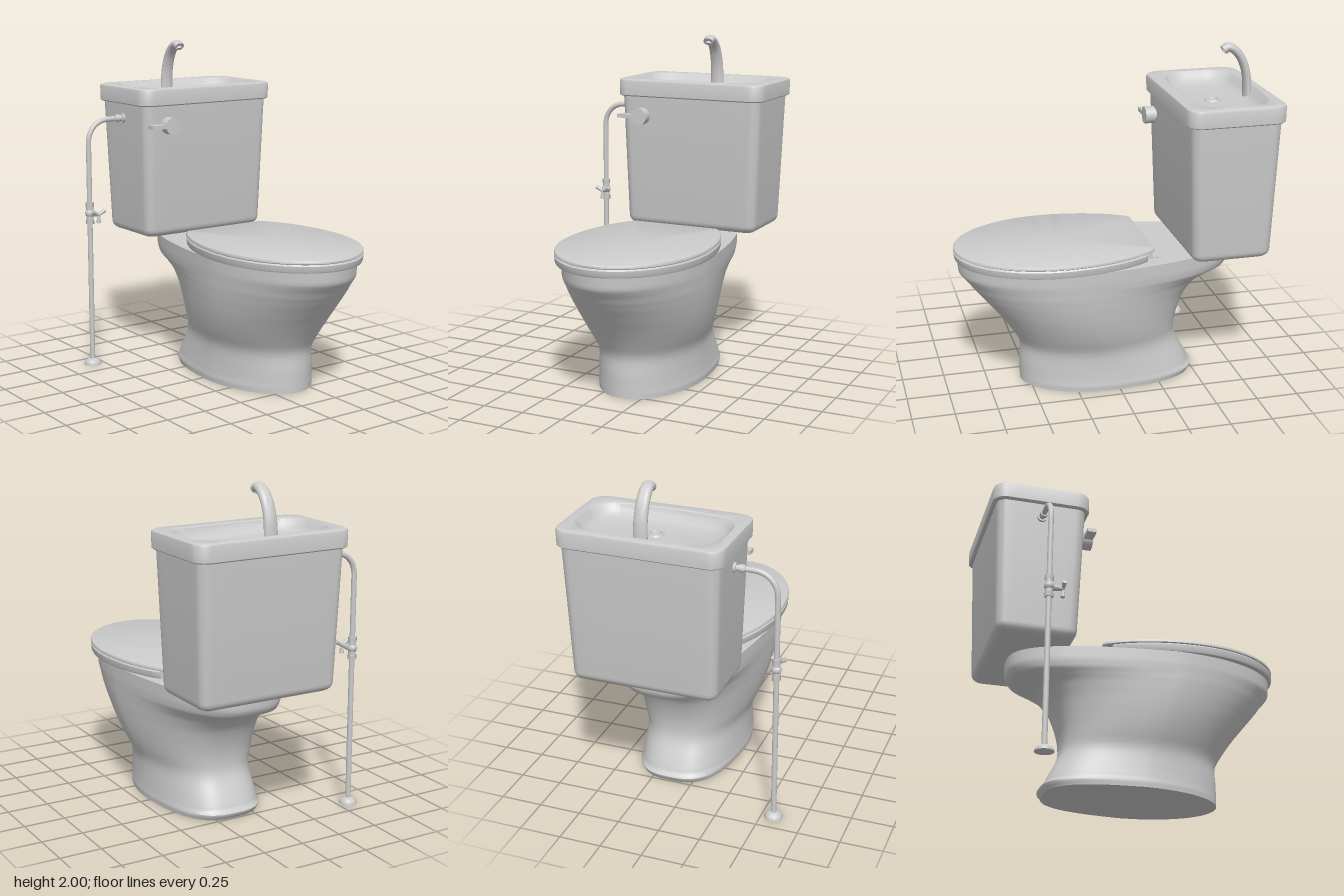
import * as THREE from 'three';
import { toCreasedNormals } from 'three/addons/utils/BufferGeometryUtils.js';

const CX = 0.135; // centre line of bowl and tank
const V = (x, y, z) => new THREE.Vector3(x, y, z);
const material = new THREE.MeshStandardMaterial({ color: 0xcccccc });

function add(parent, name, geometry, x = 0, y = 0, z = 0) {
  const mesh = new THREE.Mesh(geometry, material);
  mesh.name = name;
  mesh.position.set(x, y, z);
  parent.add(mesh);
  return mesh;
}

// Skin a stack of closed sections (counter-clockwise from above) and cap both ends
function loft(sections, crease = 0.6) {
  const n = sections[0].length, pos = [], index = [];
  sections.forEach(s => s.forEach(p => pos.push(p.x, p.y, p.z)));
  for (let i = 0; i < sections.length - 1; i++) {
    for (let j = 0; j < n; j++) {
      const a = i * n + j, b = i * n + (j + 1) % n;
      index.push(a, b, b + n, a, b + n, a + n);
    }
  }
  [0, sections.length - 1].forEach((row, top) => {
    const c = V(0, 0, 0);
    sections[row].forEach(p => c.addScaledVector(p, 1 / n));
    const ci = pos.length / 3;
    pos.push(c.x, c.y, c.z);
    for (let j = 0; j < n; j++) {
      const a = row * n + j, b = row * n + (j + 1) % n;
      if (top) index.push(ci, a, b); else index.push(ci, b, a);
    }
  });
  const g = new THREE.BufferGeometry();
  g.setAttribute('position', new THREE.Float32BufferAttribute(pos, 3));
  g.setIndex(index);
  return toCreasedNormals(g, crease);
}

// Bowl section: elliptical front, blunt tapering back
function bowlSection(y, zf, zb, hw, zc, taper, n = 72) {
  return Array.from({ length: n }, (_, i) => {
    const a = i / n * Math.PI * 2, s = Math.sin(a), c = Math.cos(a);
    if (c >= 0) return V(hw * s, y, zc + (zf - zc) * c);
    const t = Math.pow(-c, 2 / 3);
    return V(Math.sign(s) * hw * Math.pow(Math.abs(s), 2 / 3) * (1 - taper * t), y, zc + (zb - zc) * t);
  });
}

// Seat outline: egg cut straight across the back
function seatSection(y, scale, back, n = 120) {
  return Array.from({ length: n }, (_, i) => {
    const a = i / n * Math.PI * 2, c = Math.cos(a);
    const z = 0.33 + (c > 0 ? 0.595 : 0.706) * c * scale;
    return V(0.435 * scale * Math.sin(a), y, Math.max(back, z));
  });
}

// Rounded rectangle whose long sides may bow outwards
function rectSection(y, hx, hz, r, bulge = 0, zc = 0) {
  const pts = [], corner = 8, edge = 8;
  [[1, 1, 0], [1, -1, 1], [-1, -1, 2], [-1, 1, 3]].forEach(([sx, sz, q]) => {
    for (let i = 0; i <= corner; i++) {
      const a = (q + i / corner) * Math.PI / 2;
      pts.push([sx * (hx - r) + r * Math.sin(a), sz * (hz - r) + r * Math.cos(a)]);
    }
    const [x0, z0] = pts[pts.length - 1];
    const [x1, z1] = [[hx, -hz + r], [-hx + r, -hz], [-hx, hz - r], [hx - r, hz]][q];
    for (let i = 1; i < edge; i++) {
      pts.push([x0 + (x1 - x0) * i / edge, z0 + (z1 - z0) * i / edge]);
    }
  });
  return pts.map(([x, z]) => V(x, y, zc + z + bulge * (z / hz) * (1 - (x / hx) ** 2)));
}

export function createModel() {
  const model = new THREE.Group();

  // Pedestal bowl: y, front z, back z, half width, widest z, taper
  const levels = [
    [0, 0.55, -0.49, 0.305, 0.03, 0.12], [0.05, 0.55, -0.49, 0.305, 0.03, 0.12],
    [0.13, 0.55, -0.455, 0.3, 0.04, 0.14], [0.24, 0.547, -0.402, 0.302, 0.06, 0.18],
    [0.34, 0.6, -0.397, 0.34, 0.1, 0.2], [0.44, 0.67, -0.42, 0.372, 0.14, 0.22],
    [0.54, 0.75, -0.465, 0.394, 0.17, 0.23], [0.62, 0.815, -0.54, 0.406, 0.19, 0.23],
    [0.66, 0.845, -0.63, 0.41, 0.2, 0.23], [0.685, 0.866, -0.7, 0.412, 0.2, 0.23],
    [0.73, 0.9, -0.73, 0.416, 0.2, 0.23], [0.805, 0.907, -0.735, 0.418, 0.2, 0.23],
  ];
  const heights = new THREE.CatmullRomCurve3(levels.map(l => V(l[0], l[4], l[5])));
  const extents = new THREE.CatmullRomCurve3(levels.map(l => V(l[1], l[2], l[3])));
  const rows = Array.from({ length: 45 }, (_, i) => {
    const h = heights.getPoint(i / 44), e = extents.getPoint(i / 44);
    return bowlSection(h.x, e.x, e.y, e.z, h.y, h.z);
  });
  add(model, 'bowl', loft(rows, 0.9), CX);

  // Seat, cover and hinges
  add(model, 'seat', loft([[0.805, 0.985], [0.815, 0.995], [0.845, 1.0], [0.853, 0.985]]
    .map(([y, s]) => seatSection(y, s, -0.16))), CX);
  add(model, 'seatCover', loft([[0.853, 0.985], [0.858, 1], [0.868, 1], [0.874, 0.993], [0.877, 0.98]]
    .map(([y, s]) => seatSection(y, s, -0.21 + (1 - s) * 0.5))), CX);
  for (const side of [-1, 1]) {
    add(model, 'seatHinge', new THREE.BoxGeometry(0.12, 0.05, 0.05), CX + side * 0.2, 0.83, -0.175);
    add(model, 'hingePlate', new THREE.BoxGeometry(0.12, 0.012, 0.1), CX + side * 0.2, 0.807, -0.19);
  }

  // Tapered tank with a rounded underside
  const tank = new THREE.Group();
  tank.name = 'tank';
  tank.position.set(CX, 0, -0.637);
  model.add(tank);
  const tankRows = [0, 1, 2, 3, 4, 5].map(i => {
    const a = i / 5 * Math.PI / 2, inset = 0.05 * (1 - Math.sin(a));
    return rectSection(0.86 - 0.05 * Math.cos(a), 0.433 - inset, 0.237 - inset, 0.055 - inset * 0.5);
  });
  tankRows.push(rectSection(1.65, 0.46, 0.267, 0.06));
  add(tank, 'tankBody', loft(tankRows));

  // Tank top with hand basin: outer wall, rim, then down into the basin
  add(tank, 'basinTop', loft([
    rectSection(1.63, 0.475, 0.282, 0.075), rectSection(1.637, 0.483, 0.29, 0.08),
    rectSection(1.72, 0.485, 0.291, 0.08), rectSection(1.731, 0.481, 0.287, 0.08),
    rectSection(1.736, 0.472, 0.278, 0.08),
    rectSection(1.736, 0.43, 0.2, 0.12, 0.035, -0.008), rectSection(1.73, 0.422, 0.192, 0.12, 0.035, -0.008),
    rectSection(1.7, 0.405, 0.18, 0.12, 0.033, -0.004), rectSection(1.675, 0.375, 0.155, 0.11, 0.03),
    rectSection(1.664, 0.32, 0.11, 0.09, 0.025), rectSection(1.66, 0.1, 0.05, 0.04, 0.01),
  ]));
  const drain = [[0, 0.004], [0.016, 0.004], [0.018, 0], [0.03, 0], [0.034, 0.01], [0.044, 0.01], [0.05, 0]];
  add(tank, 'drain', toCreasedNormals(new THREE.LatheGeometry(
    drain.map(([r, y]) => new THREE.Vector2(r, y)).reverse(), 32), 0.5), 0, 1.662, 0.006)
    .material = new THREE.MeshStandardMaterial({ color: 0xcccccc, side: THREE.DoubleSide });

  // Flattened, curved spout narrowing towards the tip
  const spoutPath = new THREE.CatmullRomCurve3([
    V(0, 1.66, -0.843), V(0, 1.75, -0.842), V(0, 1.83, -0.83), V(0, 1.915, -0.795),
    V(0, 1.965, -0.745), V(0, 1.974, -0.715), V(0, 1.958, -0.69),
  ]);
  const spoutRows = Array.from({ length: 33 }, (_, i) => {
    const u = i / 32, p = spoutPath.getPoint(u), t = spoutPath.getTangent(u);
    const across = V(0, -t.z, t.y); // lies in the side plane
    const w = 0.043 - 0.01 * u, d = 0.023 + 0.004 * u;
    return Array.from({ length: 24 }, (_, j) => {
      const a = j / 24 * Math.PI * 2;
      return p.clone().addScaledVector(across, d * Math.cos(a)).add(V(w * Math.sin(a), 0, 0));
    });
  });
  add(model, 'spout', loft(spoutRows, 0.8), 0.132);
  const nozzle = add(model, 'nozzle', new THREE.CylinderGeometry(0.022, 0.022, 0.03, 24), 0.132, 1.957, -0.706);
  nozzle.rotation.x = -0.4;

  // Flush handle
  const handle = new THREE.Group();
  handle.name = 'flushHandle';
  handle.position.set(-0.17, 1.51, 0);
  model.add(handle);
  add(handle, 'knob', new THREE.CylinderGeometry(0.052, 0.052, 0.06, 32), 0, 0, -0.333).rotation.x = Math.PI / 2;
  add(handle, 'spindle', new THREE.CylinderGeometry(0.035, 0.035, 0.05, 24), 0, 0, -0.375).rotation.x = Math.PI / 2;
  add(handle, 'lever', new THREE.BoxGeometry(0.115, 0.024, 0.055), -0.09, 0, -0.333);

  // Water supply pipe with a bend into the side of the tank
  const supply = new THREE.Group();
  supply.name = 'waterSupply';
  supply.position.set(-0.572, 0, -0.64);
  model.add(supply);
  const pipe = new THREE.CurvePath();
  pipe.add(new THREE.LineCurve3(V(0, 0, 0), V(0, 1.4, 0)));
  pipe.add(new THREE.CubicBezierCurve3(V(0, 1.4, 0), V(0, 1.485, 0), V(0.06, 1.54, 0), V(0.14, 1.54, 0)));
  pipe.add(new THREE.LineCurve3(V(0.14, 1.54, 0), V(0.28, 1.54, 0)));
  add(supply, 'pipe', new THREE.TubeGeometry(pipe, 100, 0.016, 16));
  const flange = [[0, 0], [0.054, 0], [0.054, 0.008], [0.045, 0.022], [0.03, 0.033], [0.016, 0.038]];
  add(supply, 'floorFlange', toCreasedNormals(new THREE.LatheGeometry(
    flange.map(([r, y]) => new THREE.Vector2(r, y)), 32), 0.6));
  for (const [x, r, h] of [[0.2, 0.023, 0.03], [0.222, 0.018, 0.04], [0.243, 0.028, 0.016]]) {
    add(supply, 'tankNut', new THREE.CylinderGeometry(r, r, h, 20), x, 1.54, 0).rotation.z = Math.PI / 2;
  }

  // Stop valve
  for (const y of [0.913, 1.02]) add(supply, 'valveNut', new THREE.CylinderGeometry(0.026, 0.026, 0.028, 6), 0, y, 0);
  add(supply, 'valveBody', new THREE.CylinderGeometry(0.022, 0.022, 0.1, 20), 0, 0.967, 0);
  add(supply, 'valveBulge', new THREE.SphereGeometry(0.029, 20, 14), 0, 0.967, 0);
  add(supply, 'valveStem', new THREE.CylinderGeometry(0.012, 0.02, 0.075, 16), 0.012, 0.967, 0.045).rotation.x = Math.PI / 2;
  for (let i = 0; i < 3; i++) {
    const a = Math.PI / 6 + i * Math.PI * 2 / 3;
    const wing = add(supply, 'valveWing', new THREE.CylinderGeometry(0.014, 0.009, 0.05, 12),
      0.015 + 0.025 * Math.cos(a), 0.967 + 0.025 * Math.sin(a), 0.082);
    wing.rotation.z = a - Math.PI / 2;
  }
  return model;
}
